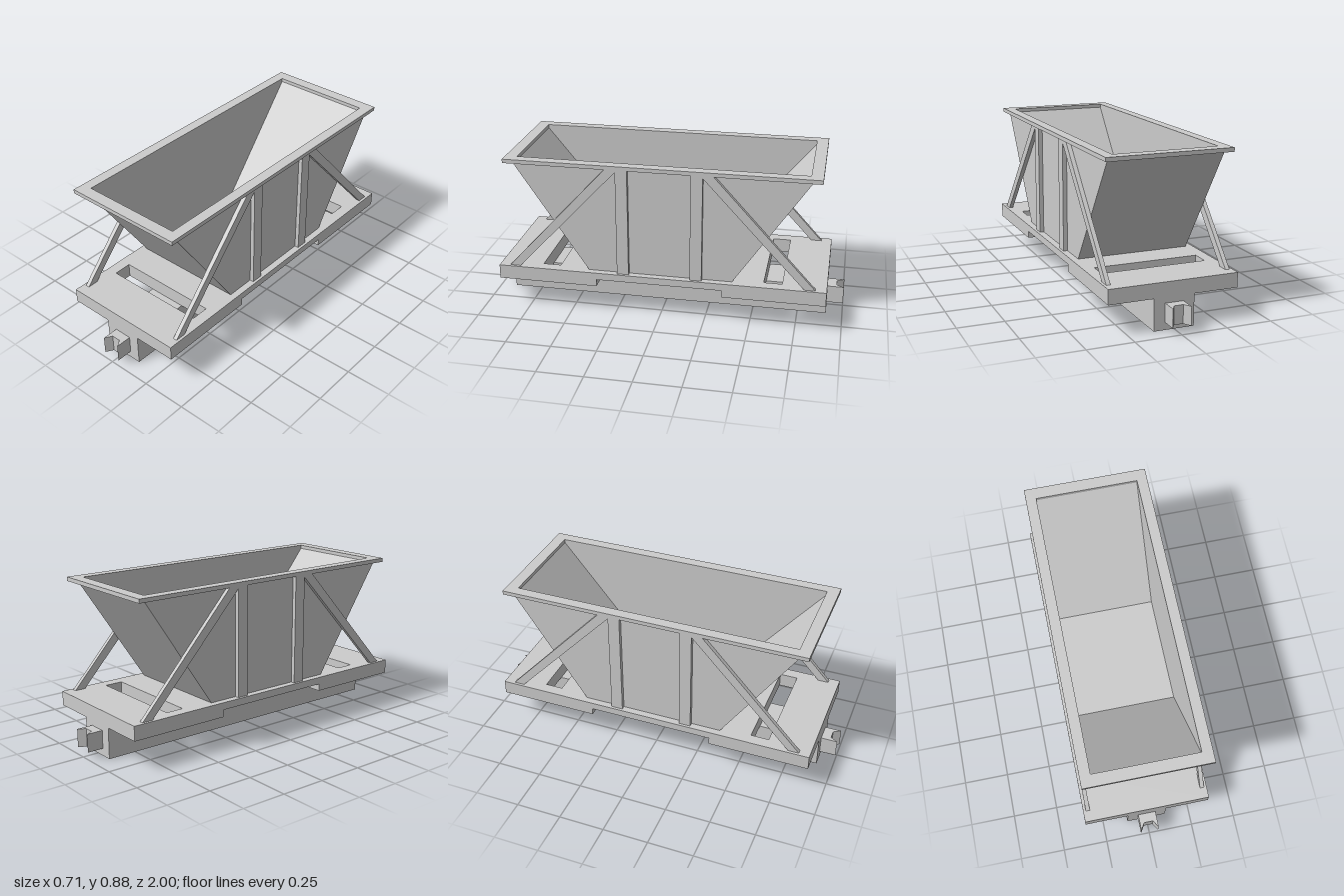
import * as THREE from 'three';

const material = new THREE.MeshStandardMaterial({ color: 0xcccccc, flatShading: true });

function makeShape(points, holes = []) {
  const toVectors = (list) => list.map(([a, b]) => new THREE.Vector2(a, b));
  const shape = new THREE.Shape(toVectors(points));
  for (const hole of holes) shape.holes.push(new THREE.Path(toVectors(hole)));
  return shape;
}

const rect = (x, z0, z1) => [[-x, z0], [x, z0], [x, z1], [-x, z1]];

// Plan outline in (x, z), raised from y0 to y1
function planSolid(points, holes, y0, y1) {
  const g = new THREE.ExtrudeGeometry(makeShape(points, holes), { depth: y1 - y0, bevelEnabled: false });
  return g.rotateX(Math.PI / 2).translate(0, y1, 0);
}

// Side outline in (z, y), spanning x0 to x1
function sideSolid(points, x0, x1) {
  const g = new THREE.ExtrudeGeometry(makeShape(points), { depth: x1 - x0, bevelEnabled: false });
  return g.rotateY(-Math.PI / 2).translate(x1, 0, 0);
}

export function createModel() {
  const model = new THREE.Group();
  model.name = 'hopperWagon';
  const add = (name, geometry) => {
    const mesh = new THREE.Mesh(geometry, material);
    mesh.name = name;
    model.add(mesh);
  };

  // Central spine under the deck
  add('spine', new THREE.BoxGeometry(0.22, 0.17, 1.82).translate(0, 0.085, 0));

  // Deck with a slot at each end; the lower layer is cut away along the sides
  const W = 0.353, L = 0.91, N = 0.15, P = 0.35;
  const slots = [rect(0.29, 0.57, 0.67), rect(0.29, -0.67, -0.57)];
  add('deckTop', planSolid(rect(W, -L, L), slots, 0.21, 0.25));
  add('deckBottom', planSolid([
    [-W, -L], [W, -L], [W, -P], [N, -P], [N, P], [W, P],
    [W, L], [-W, L], [-W, P], [-N, P], [-N, -P], [-W, -P],
  ], slots, 0.17, 0.21));

  // Hopper: sloped ends and floor in one section, closed by two side walls
  const outer = [[-0.81, 0.86], [-0.4, 0.25], [0.4, 0.25], [0.81, 0.86]];
  const inner = [[0.79, 0.86], [0.305, 0.27], [-0.305, 0.27], [-0.79, 0.86]];
  add('hopperEndsAndFloor', sideSolid([...outer, ...inner], -0.285, 0.285));
  for (const s of [-1, 1]) {
    add('hopperSide', sideSolid(outer, s * 0.3 - 0.015, s * 0.3 + 0.015));
  }
  add('hopperRim', planSolid(rect(0.343, -0.855, 0.855), [rect(0.285, -0.79, 0.79)], 0.858, 0.88));

  const mirrorZ = (points, e) => points.map(([z, y]) => [z * e, y]);
  for (const e of [-1, 1]) {
    // Upright ribs and diagonal braces on both sides
    const rib = mirrorZ([[0.17, 0.25], [0.235, 0.25], [0.235, 0.86], [0.17, 0.86]], e);
    const brace = mirrorZ([[0.79, 0.25], [0.85, 0.25], [0.29, 0.86], [0.235, 0.86], [0.235, 0.845]], e);
    for (const s of [-1, 1]) {
      const x0 = s > 0 ? 0.315 : -0.338;
      add('rib', sideSolid(rib, x0, x0 + 0.023));
      add('brace', sideSolid(brace, x0, x0 + 0.023));
    }
    // Coupler with a notched face
    const coupler = [[-0.05, 0.91], [0.05, 0.91], [0.05, 1], [0.025, 0.96], [-0.025, 0.96], [-0.05, 1]];
    add('coupler', planSolid(coupler.map(([x, z]) => [x, z * e]), [], 0.04, 0.14));
  }
  return model;
}
